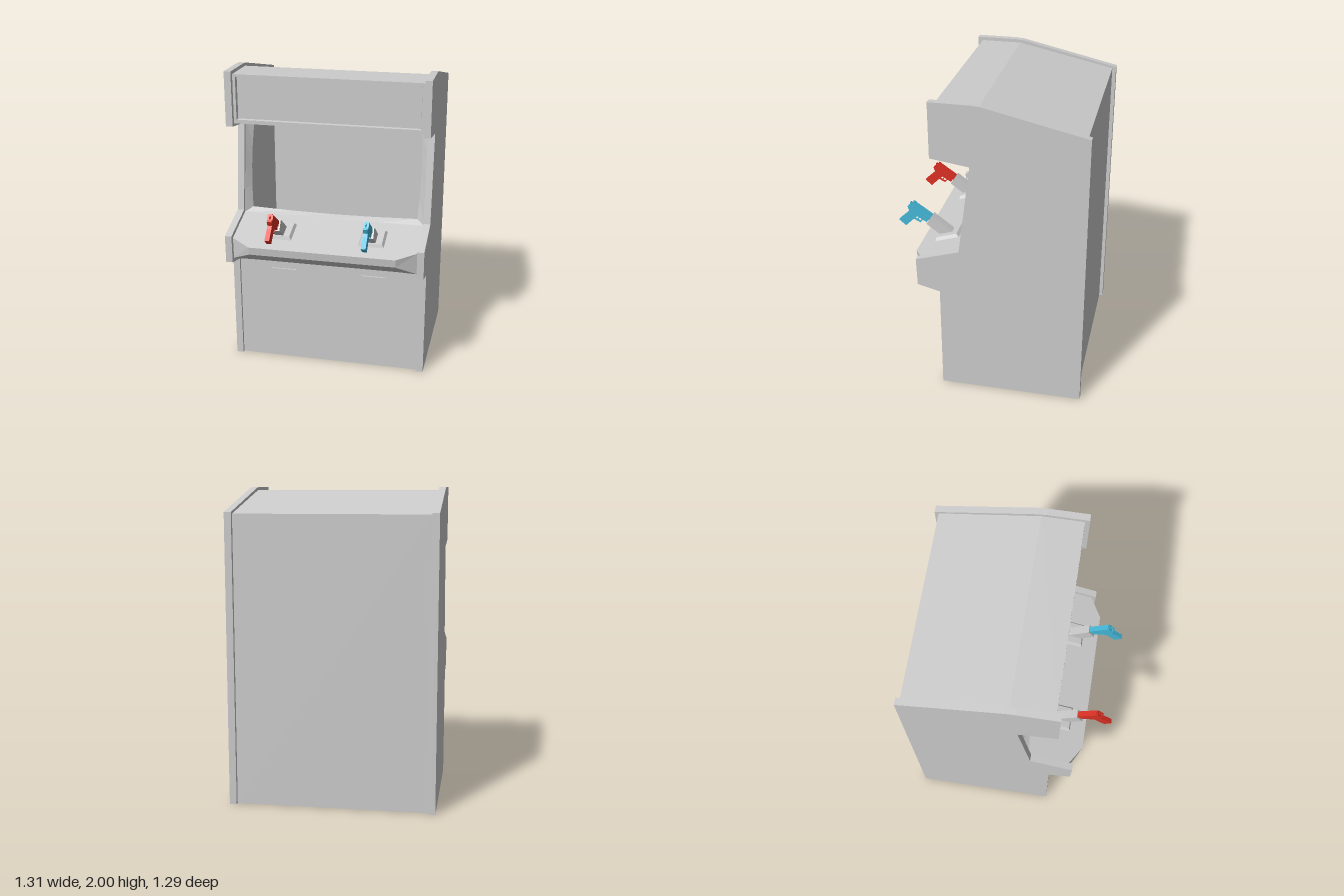
import * as THREE from 'three';

const material = (color) => new THREE.MeshStandardMaterial({ color, flatShading: true, side: THREE.DoubleSide });
const grey = material(0xcccccc);

function add(parent, name, geometry, mat = grey) {
  const mesh = new THREE.Mesh(geometry, mat);
  mesh.name = name;
  parent.add(mesh);
  return mesh;
}

// Solid slab: a side profile of [z, y] points given a width along x
function slab(points, width, x = 0, hole) {
  const toVectors = (list) => list.map(([z, y]) => new THREE.Vector2(z, y));
  const shape = new THREE.Shape(toVectors(points));
  if (hole) shape.holes.push(new THREE.Path(toVectors(hole)));
  return new THREE.ExtrudeGeometry(shape, { depth: width, bevelEnabled: false })
    .translate(0, 0, -width / 2).rotateY(-Math.PI / 2).translate(x, 0, 0);
}

// Skin between successive rows of [x, y, z] points
function loft(rows, closed = false) {
  const positions = [];
  for (let i = 0; i < rows.length - 1; i++) {
    const a = rows[i], b = rows[i + 1];
    for (let j = 0; j < (closed ? a.length : a.length - 1); j++) {
      const k = (j + 1) % a.length;
      positions.push(...a[j], ...b[j], ...b[k], ...a[j], ...b[k], ...a[k]);
    }
  }
  const geometry = new THREE.BufferGeometry();
  geometry.setAttribute('position', new THREE.Float32BufferAttribute(positions, 3));
  geometry.computeVertexNormals();
  return geometry;
}

const section = (x, profile) => profile.map(([z, y]) => [x, y, z]);
const HALF = 0.61; // half the width between the side panels
const sheet = (profile) => loft([section(HALF, profile), section(-HALF, profile)]);

function buildCabinet(group) {
  // Side panels
  const side = [[0.28, 0], [-0.645, 0], [-0.645, 1.85], [0.0, 1.995], [0.06, 2], [0.315, 2],
    [0.315, 1.645], [0.07, 1.61], [0.15, 1.02], [0.43, 0.935], [0.425, 0.75], [0.28, 0.715]];
  for (const s of [-1, 1]) add(group, s > 0 ? 'leftSidePanel' : 'rightSidePanel', slab(side, 0.045, s * 0.6325));

  // Hollow body with an open bottom
  add(group, 'backAndRoof', sheet([[-0.62, 0], [-0.62, 1.84], [0.02, 1.978], [0.285, 1.978]]));
  add(group, 'lowerFrontPanel', sheet([[0.26, 0], [0.26, 0.735]]));
  add(group, 'signUnderside', sheet([[0.285, 1.66], [0.047, 1.63]]));

  // Sign: frame around a set-back panel
  const rect = (w, bottom, top, z) => [[w, bottom, z], [w, top, z], [-w, top, z], [-w, bottom, z]];
  add(group, 'signFrame', loft([rect(HALF, 1.66, 1.978, 0.285), rect(0.592, 1.685, 1.962, 0.285),
    rect(0.588, 1.688, 1.958, 0.262)], true));
  add(group, 'signPanel', new THREE.PlaneGeometry(1.176, 0.27).translate(0, 1.823, 0.262));

  // Screen surround: a sloping frame with a bowed opening
  const ring = (w, bottom, top, bow, depth) => {
    const points = [], n = 4, middle = (top + bottom) / 2, h = (top - bottom) / 2;
    const corners = [[1, -1], [1, 1], [-1, 1], [-1, -1]];
    corners.forEach((c, i) => {
      const d = corners[(i + 1) % 4];
      for (let j = 0; j < n; j++) {
        const t = j / n, bulge = 4 * t * (1 - t) * bow;
        const u = c[0] + (d[0] - c[0]) * t, v = c[1] + (d[1] - c[1]) * t;
        const x = u * w + (i % 2 ? 0 : c[0] * bulge);
        const y = middle + v * h + (i % 2 ? c[1] * bulge : 0);
        points.push([x, y, 0.133 - (y - 1) * 0.136 - depth]);
      }
    });
    return points;
  };
  add(group, 'screenSurround', loft([ring(HALF, 1.0, 1.63, 0, 0), ring(0.562, 1.028, 1.598, 0.012, 0.04)], true));

  // Control deck with chamfered front corners
  const end = [[0.13, 1.0], [0.4, 0.915], [0.395, 0.77], [0.395, 0.77], [0.26, 0.735]];
  const middle = [[0.13, 1.0], [0.48, 0.89], [0.473, 0.838], [0.395, 0.773], [0.26, 0.735]];
  add(group, 'controlDeck', loft([section(HALF, end), section(0.48, middle), section(-0.48, middle), section(-HALF, end)]));
}

// Toy pistol with its muzzle towards -z; origin at the top rear of the slide
function buildPistol(mat) {
  const pistol = new THREE.Group();
  add(pistol, 'slide', slab([[0, 0], [-0.155, 0], [-0.155, -0.037], [0.002, -0.037]], 0.036), mat);
  add(pistol, 'frame', slab([[0.008, -0.037], [-0.15, -0.037], [-0.15, -0.062], [-0.08, -0.068],
    [-0.014, -0.068], [0.012, -0.05]], 0.03), mat);
  add(pistol, 'grip', slab([[-0.014, -0.06], [-0.077, -0.06], [-0.07, -0.1], [-0.055, -0.176],
    [0.005, -0.17], [-0.013, -0.09]], 0.03), mat);
  add(pistol, 'triggerGuard', slab([[-0.07, -0.06], [-0.124, -0.06], [-0.118, -0.098], [-0.066, -0.104]], 0.014, 0,
    [[-0.077, -0.066], [-0.117, -0.066], [-0.112, -0.091], [-0.074, -0.096]]), mat);
  add(pistol, 'trigger', slab([[-0.084, -0.06], [-0.094, -0.06], [-0.097, -0.088], [-0.091, -0.086]], 0.008), mat);
  add(pistol, 'hammer', slab([[0, -0.012], [0.012, -0.008], [0.014, -0.018], [0, -0.034]], 0.01), mat);
  add(pistol, 'rearSight', slab([[-0.006, 0], [-0.006, 0.007], [-0.016, 0.007], [-0.018, 0]], 0.022), mat);
  add(pistol, 'frontSight', slab([[-0.134, 0], [-0.144, 0.006], [-0.148, 0]], 0.008), mat);
  pistol.position.set(0, 1.155, 0.543);
  pistol.rotation.x = -0.6;
  return pistol;
}

function buildStation(x, name, color) {
  const station = new THREE.Group();
  station.name = name + 'Station';

  // Bevelled plate lying on the sloping deck
  const plate = add(station, 'holsterPlate', new THREE.CylinderGeometry(0.07 * Math.SQRT2, 0.085 * Math.SQRT2, 0.024, 4)
    .rotateY(Math.PI / 4));
  plate.position.set(0, 0.955, 0.302);
  plate.rotation.x = 0.305;

  // Angled holster rising to the muzzle
  add(station, 'holster', slab([[0.25, 0.955], [0.278, 0.976], [0.412, 1.076], [0.452, 1.012], [0.368, 0.95], [0.34, 0.925]], 0.056));

  // Triangular plate on the lower front
  const triangle = new THREE.Shape([[-0.083, 0.665], [0, 0.523], [0.083, 0.665]].map((p) => new THREE.Vector2(...p)));
  add(station, 'trianglePlate', new THREE.ExtrudeGeometry(triangle, { depth: 0.02, bevelEnabled: false }).translate(0, 0, 0.252));

  const pistol = buildPistol(material(color));
  pistol.name = name + 'Pistol';
  station.add(pistol);
  station.position.x = x;
  return station;
}

export function createModel() {
  const group = new THREE.Group();
  group.name = 'arcadeCabinet';
  buildCabinet(group);
  group.add(buildStation(-0.305, 'red', 0xdd3023), buildStation(0.305, 'blue', 0x45b8d8));
  return group;
}
